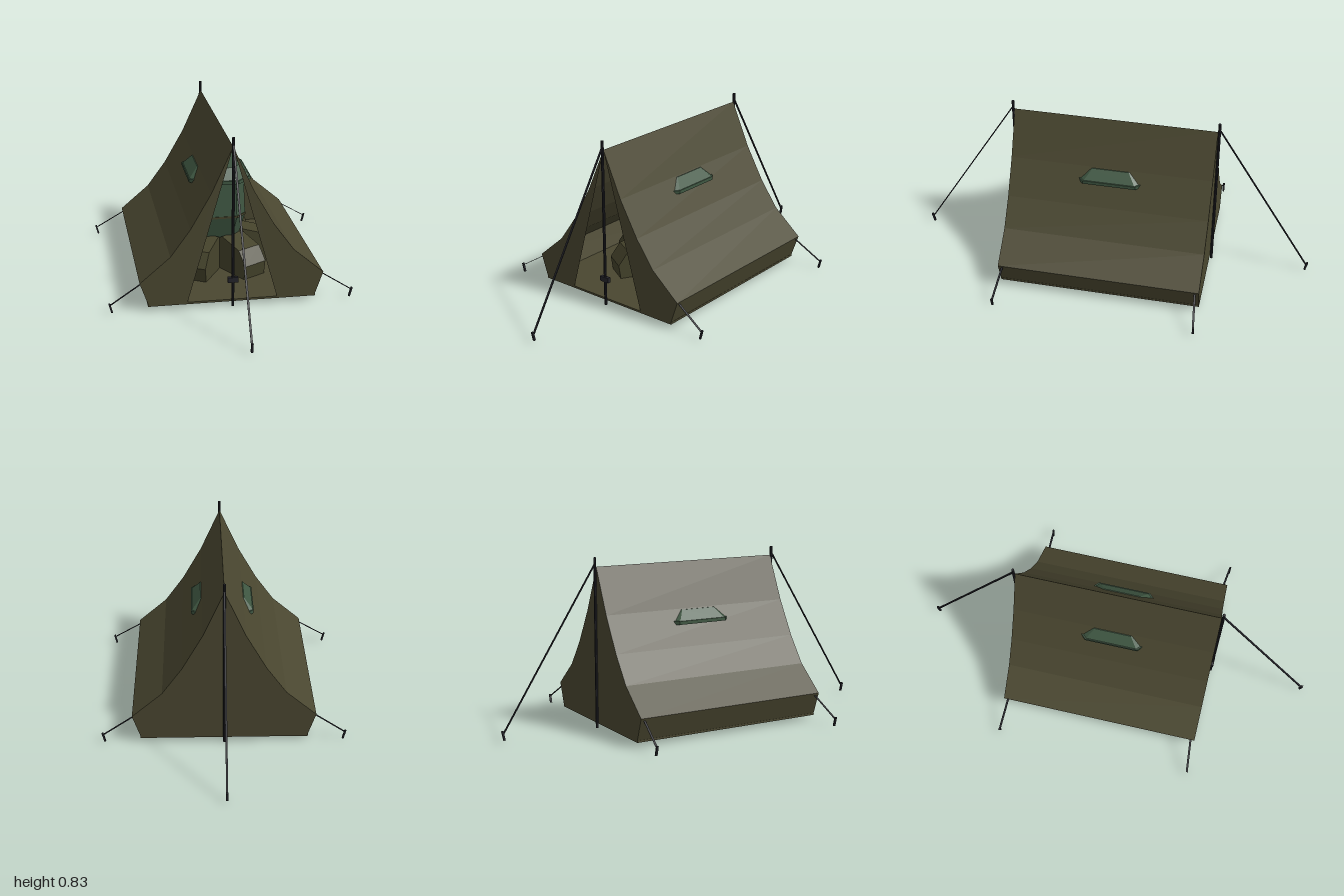
import * as THREE from 'three';

const mat = (name, color) => {
  const m = new THREE.MeshStandardMaterial({ color, side: THREE.DoubleSide, flatShading: true });
  m.name = name;
  return m;
};

export function createModel() {
  const root = new THREE.Group();
  root.name = 'tent';
  const canvas = mat('olive canvas', 0x4a4730);
  const dark = mat('dark metal', 0x24242a);
  const green = mat('green paint', 0x3f5742);
  const olive = mat('olive paint', 0x45432b);
  const grey = mat('grey metal', 0x48484e);

  const add = (name, geo, material, parent = root) => {
    const m = new THREE.Mesh(geo, material);
    m.name = name;
    parent.add(m);
    return m;
  };
  const shape = pts => new THREE.Shape(pts.map(p => new THREE.Vector2(p[0], p[1])));
  // Flat bar between two points, w wide sideways and t thick
  const bar = (name, a, b, w, t, material) => {
    const A = new THREE.Vector3(...a), B = new THREE.Vector3(...b);
    const m = add(name, new THREE.BoxGeometry(w, t, A.distanceTo(B)), material);
    m.position.copy(A).add(B).multiplyScalar(0.5);
    m.lookAt(B);
    return m;
  };

  // Sagging half outline of the tent, ridge to floor
  const half = [[0, 0.785], [0.1, 0.565], [0.197, 0.395], [0.292, 0.264], [0.437, 0.14], [0.397, 0.025]];
  const mirrored = half.slice(1).reverse().map(([x, y]) => [-x, y]);
  const D = 0.5;

  // Roof and side walls: one strip along the outline
  const outline = [...mirrored, ...half];
  const pos = [], idx = [];
  outline.forEach(([x, y], i) => {
    pos.push(x, y, D, x, y, -D);
    if (i) {
      const k = 2 * i;
      idx.push(k - 2, k, k - 1, k, k + 1, k - 1);
    }
  });
  const roof = new THREE.BufferGeometry();
  roof.setAttribute('position', new THREE.Float32BufferAttribute(pos, 3));
  roof.setIndex(idx);
  const roofGeo = roof.toNonIndexed();
  roofGeo.computeVertexNormals();
  add('roof', roofGeo, canvas);

  // Closed back wall and two front flaps
  add('backWall', new THREE.ShapeGeometry(shape(outline)), canvas).position.z = -D;
  for (const s of [-1, 1]) {
    const flap = [...half, [0.215, 0.025]].map(([x, y]) => [s * x, y]);
    add(s > 0 ? 'leftFlap' : 'rightFlap', new THREE.ShapeGeometry(shape(flap)), canvas).position.z = D;
  }
  add('groundSheet', new THREE.BoxGeometry(0.8, 0.01, 2 * D), canvas).position.y = 0.025;

  for (const s of [-1, 1]) {
    // End pole with its clamp
    add('pole', new THREE.CylinderGeometry(0.007, 0.007, 0.83, 8), dark).position.set(0, 0.415, s * 0.507);
    if (s > 0) add('poleClamp', new THREE.BoxGeometry(0.05, 0.025, 0.018), dark).position.set(0, 0.135, 0.507);
    // Long guy line and stake
    bar('guyLine', [0, 0.8, s * 0.507], [0, 0.035, s * 0.99], 0.009, 0.005, dark);
    bar('stake', [0, 0.05, s * 0.995], [0, 0.005, s * 0.985], 0.01, 0.009, dark);
    // Short side guy straps and stakes
    for (const x of [-1, 1]) {
      bar('sideStrap', [x * 0.43, 0.13, s * 0.48], [x * 0.575, 0.04, s * 0.496], 0.01, 0.002, dark);
      bar('sideStake', [x * 0.58, 0.048, s * 0.497], [x * 0.568, 0.003, s * 0.497], 0.01, 0.008, dark);
    }
  }

  // Armoured machine sheltered inside: chamfered plates stacked upwards
  const machine = new THREE.Group();
  machine.name = 'machine';
  root.add(machine);
  // Chamfered block from y0 to y1, with its bottom scaled by s0 and its top by s1
  const block = (name, hx, hz, c, y0, y1, s0, s1, material) => {
    const g = new THREE.ExtrudeGeometry(shape([
      [hx, -hz + c], [hx, hz - c], [hx - c, hz], [-hx + c, hz],
      [-hx, hz - c], [-hx, -hz + c], [-hx + c, -hz], [hx - c, -hz]]),
    { depth: y1 - y0, bevelEnabled: false });
    g.rotateX(-Math.PI / 2);
    const p = g.attributes.position;
    for (let i = 0; i < p.count; i++) {
      const k = p.getY(i) > (y1 - y0) / 2 ? s1 : s0;
      p.setXYZ(i, p.getX(i) * k, p.getY(i) + y0, p.getZ(i) * k);
    }
    g.computeVertexNormals();
    add(name, g, material, machine);
  };
  block('lowerBody', 0.13, 0.16, 0.05, 0.15, 0.305, 0.7, 1, green);
  block('waistBand', 0.132, 0.163, 0.05, 0.305, 0.315, 1, 1, olive);
  block('upperBody', 0.13, 0.16, 0.05, 0.315, 0.495, 1, 0.95, green);
  block('rim', 0.153, 0.2, 0.07, 0.495, 0.512, 1, 1, green);
  block('lid', 0.148, 0.19, 0.065, 0.512, 0.56, 1, 0.72, green);
  block('topMount', 0.05, 0.05, 0.02, 0.56, 0.66, 1, 0.4, olive);
  add('hub', new THREE.CylinderGeometry(0.1, 0.1, 0.15, 12), grey, machine).position.y = 0.08;
  add('hubPlate', new THREE.CylinderGeometry(0.05, 0.05, 0.01, 12), dark, machine).position.y = 0.005;

  // Six splayed legs with sloping armour and flat feet
  const armour = new THREE.ExtrudeGeometry(
    shape([[0.09, 0.03], [0.3, 0.03], [0.31, 0.1], [0.26, 0.17], [0.13, 0.205], [0.09, 0.18]]),
    { depth: 0.13, bevelEnabled: false });
  armour.translate(0, 0, -0.065);
  const foot = new THREE.BoxGeometry(0.21, 0.022, 0.06).translate(0.205, 0.016, 0);
  for (let i = 0; i < 6; i++) {
    const leg = new THREE.Group();
    leg.name = 'leg';
    leg.rotation.y = i * Math.PI / 3;
    machine.add(leg);
    add('legArmour', armour, olive, leg);
    add('foot', foot, olive, leg);
    add('ankle', new THREE.BoxGeometry(0.05, 0.012, 0.035).translate(0.12, 0.007, 0), grey, leg);
  }
  return root;
}
